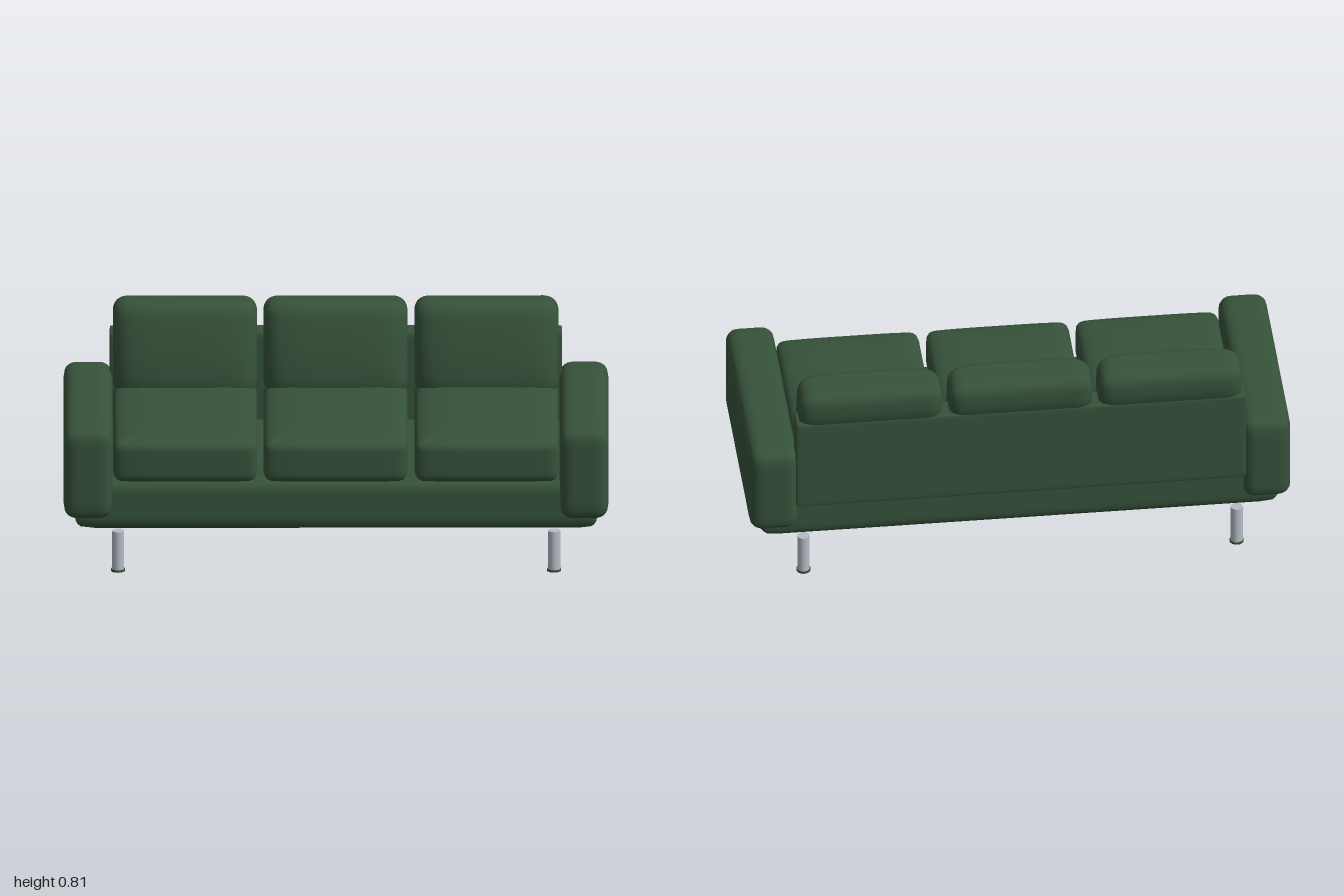
import * as THREE from 'three';
import { mergeVertices } from 'three/addons/utils/BufferGeometryUtils.js';

const fabric = new THREE.MeshStandardMaterial({ name: 'green fabric', color: 0x36523a });
const metal = new THREE.MeshStandardMaterial({ name: 'brushed metal', color: 0xb4bcc4 });

const clamp = THREE.MathUtils.clamp;

// Soft box between two corners; rows crowd toward the edges, and an optional rule reshapes it.
// The rule receives the point and its -1..1 position inside the box.
function softBox(name, min, max, radius, seg = 16, rule = null) {
  const half = [0, 1, 2].map(i => (max[i] - min[i]) / 2);
  const mid = [0, 1, 2].map(i => (max[i] + min[i]) / 2);
  let geo = new THREE.BoxGeometry(2, 2, 2, seg, seg, seg);
  geo.deleteAttribute('uv');
  geo.deleteAttribute('normal');
  geo = mergeVertices(geo);
  const pos = geo.attributes.position;
  const p = new THREE.Vector3(), core = new THREE.Vector3(), n = new THREE.Vector3();
  for (let i = 0; i < pos.count; i++) {
    p.fromBufferAttribute(pos, i);
    p.set(...p.toArray().map((t, k) => Math.sin(t * Math.PI / 2) * half[k]));
    core.set(...p.toArray().map((t, k) => clamp(t, radius - half[k], half[k] - radius)));
    p.sub(core).setLength(radius).add(core);
    n.set(p.x / half[0], p.y / half[1], p.z / half[2]);
    p.add(new THREE.Vector3(...mid));
    if (rule) rule(p, n);
    pos.setXYZ(i, p.x, p.y, p.z);
  }
  geo.computeVertexNormals();
  const mesh = new THREE.Mesh(geo, fabric);
  mesh.name = name;
  return mesh;
}

// Seat: crowned top that falls a little toward the edges
function plumpSeat(p, n) {
  if (n.y > 0) p.y -= 0.018 * n.y * Math.max(n.x ** 4, n.z ** 6);
  if (n.z > 0) p.z -= 0.008 * n.z * n.x ** 4;
}

// Back cushion: front leans back toward the top, with full middle and sloping top
function plumpBack(p, n) {
  const front = (n.z + 1) / 2, back = 1 - front;
  const s = clamp((p.y - 0.53) / 0.28, 0, 1);
  p.z -= front * (0.06 * s ** 1.5 + 0.03 * n.x ** 4);
  if (n.y > 0) p.y -= 0.016 * back * n.y;
  if (p.y < 0.7) p.z += back * 0.02 * clamp((0.7 - p.y) / 0.06, 0, 1);
}

export function createModel() {
  const sofa = new THREE.Group();
  sofa.name = 'sofa';

  // Frame
  sofa.add(softBox('base', [-0.96, 0.152, -0.385], [0.96, 0.342, 0.395], 0.045));
  sofa.add(softBox('backPanel', [-0.83, 0.31, -0.42], [0.83, 0.678, -0.32], 0.01));

  // Arms
  for (const [side, x] of [['left', 0.91], ['right', -0.91]]) {
    sofa.add(softBox(side + 'Arm', [x - 0.09, 0.2, -0.415], [x + 0.09, 0.548, 0.428], 0.048));
  }

  // Three seat and back cushions
  for (const x of [-0.554, -0.002, 0.552]) {
    sofa.add(softBox('seatCushion', [x - 0.264, 0.336, -0.32], [x + 0.264, 0.508, 0.402], 0.035, 20, plumpSeat));
    sofa.add(softBox('backCushion', [x - 0.264, 0.46, -0.426], [x + 0.264, 0.812, -0.198], 0.055, 24, plumpBack));
  }

  // Legs with fabric-coloured floor pads
  for (const x of [-0.8, 0.8]) {
    for (const z of [-0.38, 0.397]) {
      const leg = new THREE.Group();
      leg.name = 'leg';
      const post = new THREE.Mesh(new THREE.CylinderGeometry(0.0225, 0.0225, 0.147, 24), metal);
      post.name = 'legPost';
      post.position.y = 0.0815;
      const pad = new THREE.Mesh(new THREE.CylinderGeometry(0.026, 0.026, 0.008, 24), fabric);
      pad.name = 'footPad';
      pad.position.y = 0.004;
      leg.add(post, pad);
      leg.position.set(x, 0, z);
      sofa.add(leg);
    }
  }
  return sofa;
}
